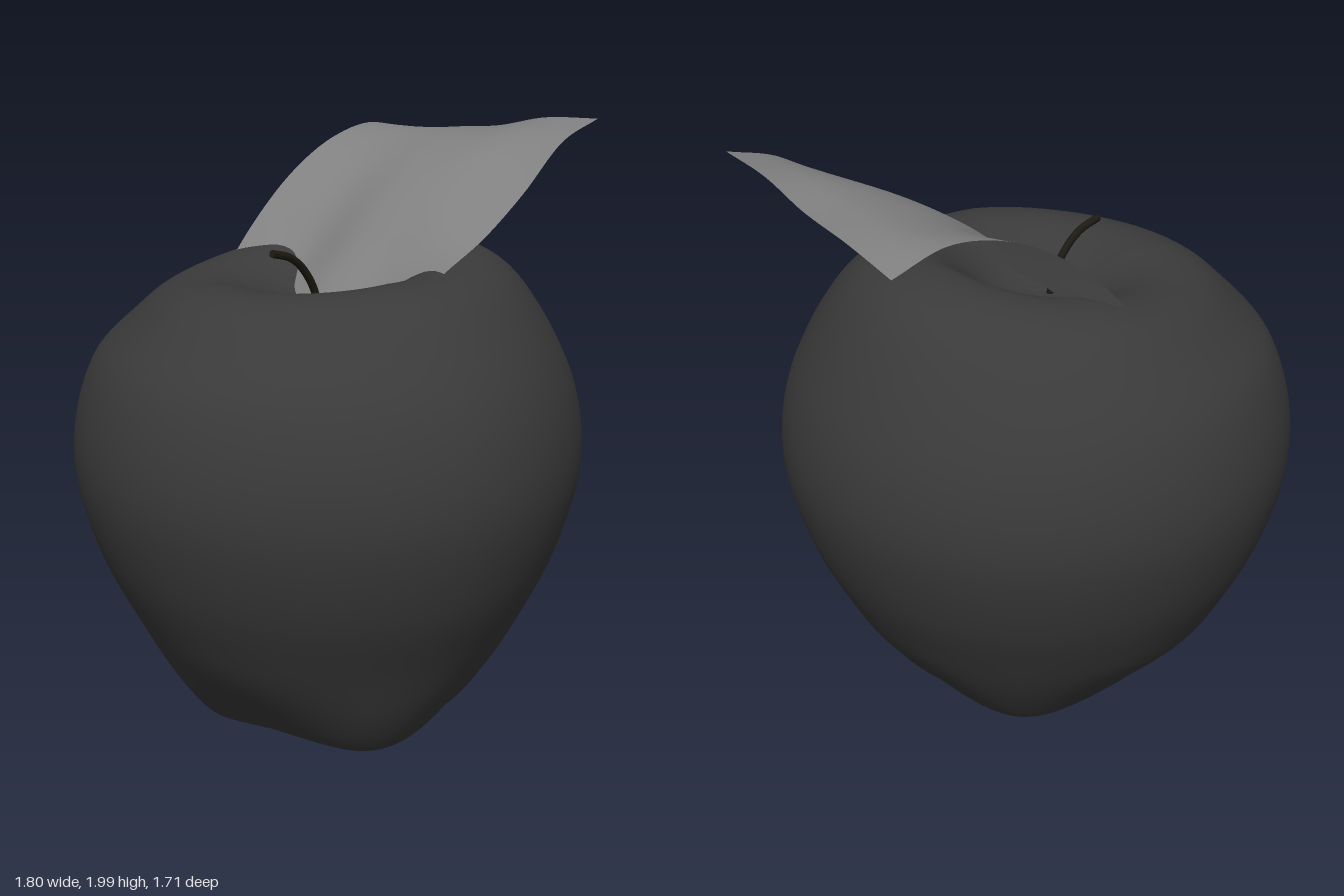
import * as THREE from 'three';
import { mergeVertices } from 'three/addons/utils/BufferGeometryUtils.js';

const V2 = (x, y) => new THREE.Vector2(x, y);
const V3 = (x, y, z) => new THREE.Vector3(x, y, z);
const CENTER_X = -0.05;
// Directions of the base lobes, in degrees from +z towards +x
const LOBES = [-12, 68, 150, 253];

function addMesh(group, name, geometry, options) {
  const mesh = new THREE.Mesh(geometry, new THREE.MeshStandardMaterial(options));
  mesh.name = name;
  group.add(mesh);
  return mesh;
}

// Weld a deformed surface so its normals are smooth across seams
function smooth(geometry) {
  geometry.deleteAttribute('uv');
  geometry.deleteAttribute('normal');
  const welded = mergeVertices(geometry, 1e-4);
  welded.computeVertexNormals();
  return welded;
}

// 1 on a lobe, fading to 0 between lobes
function lobeAt(angle) {
  return Math.max(...LOBES.map((deg) => {
    const d = angle - THREE.MathUtils.degToRad(deg);
    return Math.exp(8 * (Math.cos(d) - 1));
  }));
}

// Fruit body: a lathed profile with four lobes at the base and an uneven crown
function bodyGeometry() {
  const profile = new THREE.SplineCurve([
    V2(0, 0.15), V2(0.12, 0.135), V2(0.25, 0.085), V2(0.34, 0.035), V2(0.4, 0.015), V2(0.46, 0.055),
    V2(0.56, 0.2), V2(0.67, 0.4), V2(0.77, 0.6), V2(0.835, 0.8), V2(0.856, 0.96), V2(0.838, 1.12),
    V2(0.785, 1.27), V2(0.7, 1.4), V2(0.59, 1.515), V2(0.48, 1.565), V2(0.37, 1.57),
    V2(0.27, 1.53), V2(0.16, 1.465), V2(0.07, 1.435), V2(0, 1.425),
  ]);
  const points = profile.getPoints(100);
  points[0].x = points[100].x = 0;
  const geometry = new THREE.LatheGeometry(points, 96);
  const pos = geometry.attributes.position;
  for (let i = 0; i < pos.count; i++) {
    const x = pos.getX(i), z = pos.getZ(i);
    let y = pos.getY(i);
    const r = Math.hypot(x, z);
    const angle = Math.atan2(x, z);
    const s = Math.sin(angle), c = Math.cos(angle);
    const front = Math.max(0, c), back = Math.max(0, -c);
    const gap = 1 - lobeAt(angle);
    const low = (1 - THREE.MathUtils.smoothstep(y, 0.02, 0.4)) * THREE.MathUtils.smoothstep(r, 0.05, 0.4);
    // Gaps between lobes are drawn in and up; front diagonals slightly flattened
    const scale = 1 + (0.02 - 0.06 * gap + 0.02 * c) * low
      - (0.03 + 0.012 * s) * front * Math.sin(2 * angle) ** 2;
    y += (0.05 * gap + 0.012 - 0.012 * c) * low;
    // Crown: raised shoulder on +x, lower towards the back of -x
    const high = THREE.MathUtils.smoothstep(y, 1.25, 1.5) * THREE.MathUtils.smoothstep(r, 0.1, 0.37);
    const rise = s > 0 ? 0.05 * s ** 2.5 + 0.03 * back * s : 0.035 * s + 0.045 * back * s;
    y += rise * high;
    pos.setXYZ(i, x * scale + CENTER_X, Math.max(y, 0), z * scale);
  }
  return smooth(geometry);
}

// Leaf: a rectangular sheet, its heights blended across five lengthwise ribs
function leafGeometry() {
  const along = [-0.12, 0.1, 0.3, 0.5, 0.7, 0.89];
  const ribs = [
    [0, [1.38, 1.63, 1.795, 1.895, 1.93, 1.88]],
    [0.22, [1.36, 1.53, 1.72, 1.86, 1.92, 1.915]],
    [0.45, [1.38, 1.58, 1.75, 1.87, 1.93, 1.94]],
    [0.66, [1.37, 1.555, 1.73, 1.86, 1.95, 1.985]],
    [0.89, [1.46, 1.575, 1.665, 1.79, 1.94, 2.0]],
  ].map(([t, heights]) =>
    new THREE.CatmullRomCurve3(heights.map((y, i) => V3(along[i], y, t))));
  const n = 32;
  const geometry = new THREE.PlaneGeometry(1, 1, n, n);
  const pos = geometry.attributes.position;
  for (let i = 0; i <= n; i++) {
    const across = new THREE.CatmullRomCurve3(ribs.map((rib) => rib.getPoint(i / n)));
    for (let j = 0; j <= n; j++) {
      const p = across.getPoint(j / n);
      // Rows run from the back edge to the front edge
      pos.setXYZ(j * (n + 1) + i,
        -0.175 + 0.967 * p.x + 0.237 * p.z,
        p.y,
        -0.46 - 0.256 * p.x + 0.97 * p.z);
    }
  }
  return smooth(geometry);
}

export function createModel() {
  const group = new THREE.Group();
  group.name = 'apple';

  addMesh(group, 'body', bodyGeometry(), { color: 0x3a3a3a });
  addMesh(group, 'leaf', leafGeometry(), { color: 0x808080, side: THREE.DoubleSide });

  // Stem: a thin bent tube with a flat tip
  const path = new THREE.CatmullRomCurve3([
    V3(-0.1, 1.39, 0), V3(-0.112, 1.48, 0.004), V3(-0.17, 1.57, 0.025),
    V3(-0.23, 1.615, 0.047), V3(-0.305, 1.638, 0.07),
  ]);
  const stemColor = { color: 0x1c1a12 };
  addMesh(group, 'stem', new THREE.TubeGeometry(path, 24, 0.013, 10), stemColor);
  const tip = addMesh(group, 'stemTip', new THREE.CircleGeometry(0.013, 10), stemColor);
  tip.position.copy(path.getPoint(1));
  tip.lookAt(path.getPoint(1).add(path.getTangent(1)));

  return group;
}
